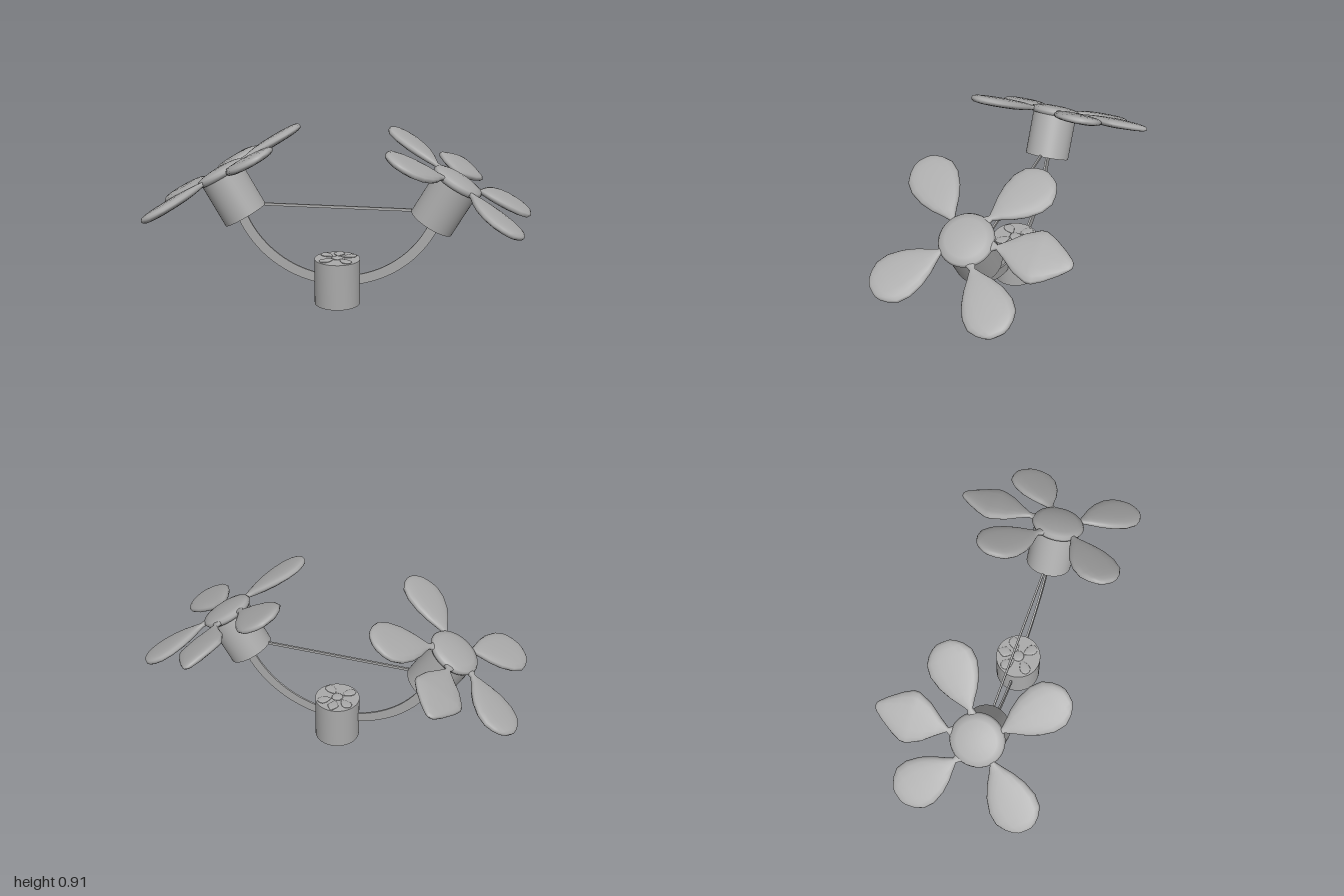
import * as THREE from 'three';
import { toCreasedNormals } from 'three/addons/utils/BufferGeometryUtils.js';

const rad = THREE.MathUtils.degToRad;
const grey = new THREE.MeshStandardMaterial({ color: 0xaaaaaa });
grey.name = 'plain grey';

const CENTRE_Z = 0.068;

function part(name, geometry, parent) {
  const mesh = new THREE.Mesh(geometry, grey);
  mesh.name = name;
  parent.add(mesh);
  return mesh;
}

function lathe(points, crease) {
  const g = new THREE.LatheGeometry(points.map(([x, y]) => new THREE.Vector2(x, y)), 48);
  return toCreasedNormals(g, crease);
}

// Petal lofted along +z from rounded cross-sections: [distance, half width, half thickness]
function petalGeometry(stations) {
  const n = 16, pos = [], index = [];
  const round = (v) => Math.sign(v) * Math.pow(Math.abs(v), 0.8);
  stations.forEach(([z, w, h], i) => {
    for (let k = 0; k < n; k++) {
      const a = (k / n) * Math.PI * 2;
      pos.push(w * round(Math.cos(a)), h * round(Math.sin(a)), z);
      if (i === stations.length - 1) continue;
      const p = i * n + k, q = i * n + (k + 1) % n;
      index.push(p, q, q + n, p, q + n, p + n);
    }
  });
  const g = new THREE.BufferGeometry();
  g.setAttribute('position', new THREE.Float32BufferAttribute(pos, 3));
  g.setIndex(index);
  g.computeVertexNormals();
  return g;
}

const pointedPetal = petalGeometry([
  [-0.07, 0.075, 0.012], [-0.03, 0.03, 0.014], [0, 0.012, 0.012], [0.05, 0.05, 0.018],
  [0.11, 0.1, 0.023], [0.18, 0.134, 0.025], [0.21, 0.134, 0.025], [0.26, 0.108, 0.023],
  [0.32, 0.065, 0.02], [0.36, 0.03, 0.014], [0.372, 0.015, 0.007], [0.375, 0, 0],
]);
const bluntPetal = petalGeometry([
  [-0.06, 0.05, 0.012], [-0.03, 0.024, 0.014], [0, 0.014, 0.012], [0.04, 0.042, 0.018],
  [0.08, 0.072, 0.022], [0.14, 0.105, 0.025], [0.21, 0.125, 0.025], [0.27, 0.12, 0.024],
  [0.31, 0.092, 0.022], [0.335, 0.062, 0.018], [0.348, 0.035, 0.01], [0.35, 0, 0],
]);
const flowerCentre = lathe([
  [0, -0.025], [0.1, -0.025], [0.128, -0.018], [0.138, 0], [0.13, 0.014],
  [0.1, 0.023], [0.05, 0.029], [0, 0.031],
], 1.2);

// Hollow cup, open at the bottom
const cup = lathe([
  [0, 0.2], [0.085, 0.2], [0.085, 0], [0.12, 0], [0.12, 0.245], [0, 0.245],
], 0.6);

// Five-petalled flower lying in the xz plane
function flower(name) {
  const group = new THREE.Group();
  group.name = name;
  part('flowerCentre', flowerCentre, group);
  const back = part('backPetal', pointedPetal, group);
  back.position.z = -0.155;
  back.rotation.y = Math.PI;
  for (const s of [-1, 1]) {
    const side = part('sidePetal', bluntPetal, group);
    side.position.set(s * 0.135, 0, -0.078);
    side.rotation.y = s * rad(129);
    const front = part('frontPetal', bluntPetal, group);
    front.position.set(s * 0.087, 0, 0.105);
    front.rotation.y = s * rad(47);
    front.scale.z = 1.05;
  }
  return group;
}

// Flat curved band joining the base cup to a flower cup
function armGeometry() {
  const a0 = rad(281), a1 = rad(357), t = 0.01;
  const shape = new THREE.Shape();
  shape.absarc(0, 0.676, 0.576, a0, a1, false);
  shape.absarc(0, 0.676, 0.524, a1, a0, true);
  const g = new THREE.ExtrudeGeometry(shape, { depth: t, bevelEnabled: false, curveSegments: 14 });
  g.translate(0, 0, -t / 2);
  return g;
}

export function createModel() {
  const model = new THREE.Group();
  model.name = 'flowerStand';
  const body = new THREE.Group();
  body.name = 'body';
  body.position.z = CENTRE_Z;
  model.add(body);

  // Base cup with a small raised flower on its top
  part('baseCup', cup, body);
  const emblem = flower('smallFlower');
  emblem.scale.setScalar(0.22);
  emblem.position.y = 0.248;
  body.add(emblem);

  // Tilted flower cups and their curved arms
  const arm = armGeometry();
  for (const s of [-1, 1]) {
    const head = new THREE.Group();
    head.name = s > 0 ? 'leftFlowerCup' : 'rightFlowerCup';
    head.position.set(s * 0.4875, 0.4625, 0);
    head.rotation.z = -s * rad(30);
    part('flowerCup', cup, head);
    const bloom = flower('flower');
    bloom.position.y = 0.255;
    head.add(bloom);
    body.add(head);

    const band = part(s > 0 ? 'leftArm' : 'rightArm', arm, body);
    if (s < 0) band.rotation.y = Math.PI;
  }

  // Thin cross bar between the flower cups
  const bar = part('crossBar', new THREE.BoxGeometry(0.77, 0.014, 0.01), body);
  bar.position.y = 0.525;

  return model;
}
